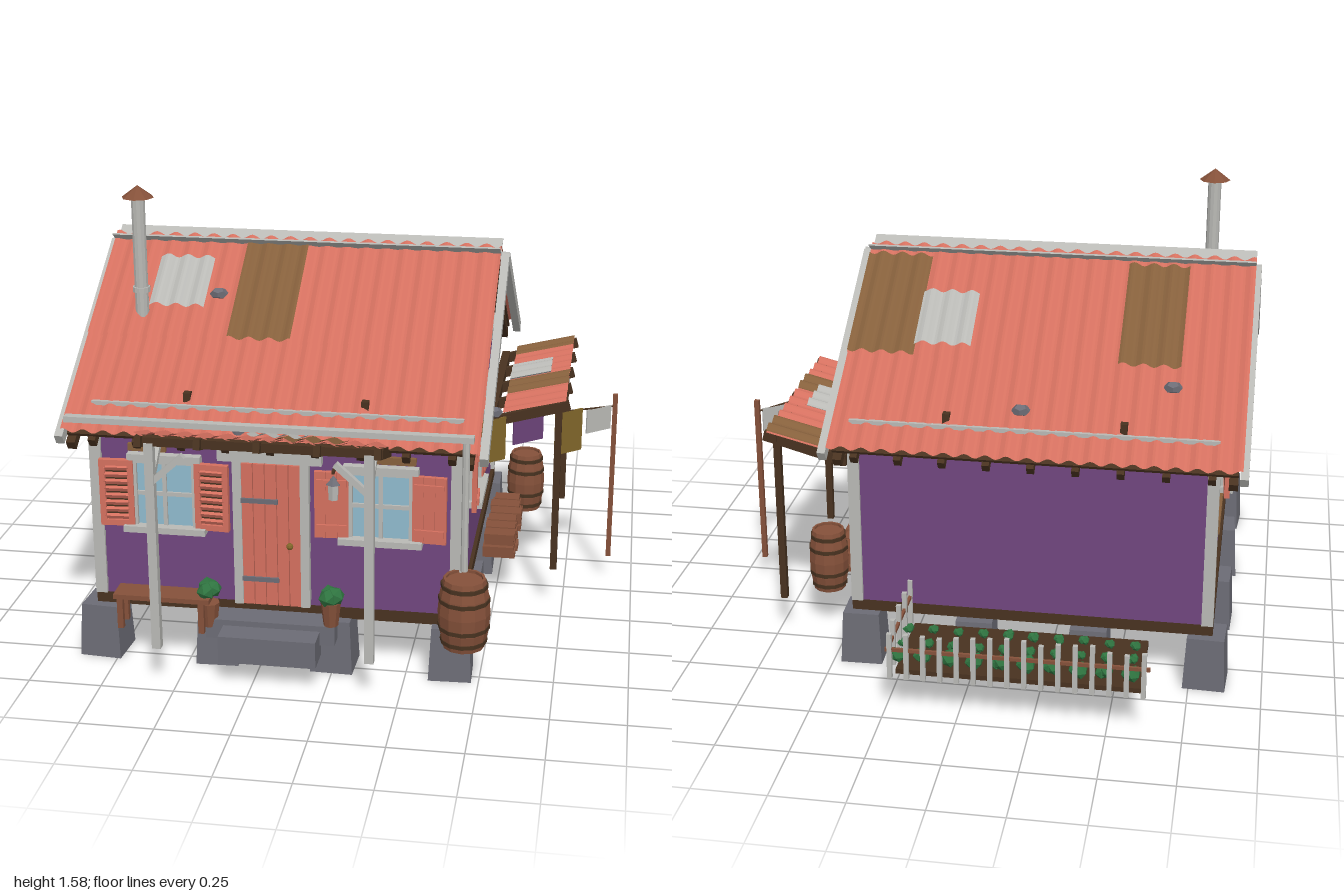
import * as THREE from 'three';

const paint = (name, color, open) => {
  const m = new THREE.MeshStandardMaterial({ color, flatShading: true });
  m.name = name;
  if (open) m.side = THREE.DoubleSide;
  return m;
};

export function createModel() {
  const purple = paint('purple', 0x6c4379), red = paint('terracotta', 0xd4705f, true);
  const tan = paint('rust brown', 0x86603c, true), wood = paint('barrel wood', 0x85513a);
  const dark = paint('dark timber', 0x483220), grey = paint('pale grey', 0xb9b9b5, true);
  const stone = paint('stone', 0x6c6c75), glass = paint('glass', 0x8fbacd);
  const green = paint('leaf green', 0x2f7440), mustard = paint('mustard', 0x80662a, true);

  const root = new THREE.Group();
  root.name = 'cabin';
  let target = root; // group that receives new parts
  const V = (x, y, z) => new THREE.Vector3(x, y, z);
  const add = (name, geo, mat, x = 0, y = 0, z = 0) => {
    const m = new THREE.Mesh(geo, mat);
    m.name = name;
    m.position.set(x, y, z);
    target.add(m);
    return m;
  };
  const box = (name, mat, x0, x1, y0, y1, z0, z1) => add(name,
    new THREE.BoxGeometry(x1 - x0, y1 - y0, z1 - z0), mat, (x0 + x1) / 2, (y0 + y1) / 2, (z0 + z1) / 2);
  const beam = (name, mat, a, b, w, h) => {
    const m = new THREE.Mesh(new THREE.BoxGeometry(w, h, a.distanceTo(b)), mat);
    m.name = name;
    m.position.copy(a).lerp(b, 0.5);
    m.lookAt(b);
    target.add(m);
  };
  const inGroup = (name, x, y, z, turn, build) => {
    const g = new THREE.Group(), old = target;
    g.name = name;
    g.position.set(x, y, z);
    g.rotation.y = turn;
    old.add(g);
    target = g;
    build();
    target = old;
  };
  let seed = 7;
  const rnd = () => (seed = (seed * 16807) % 2147483647) / 2147483647;

  // Corrugated sheet between two edges given as (z, y)
  const sheet = (name, mat, x0, x1, za, ya, zb, yb, lift = 0) => {
    const n = Math.round((x1 - x0) / 0.07 * 8);
    const g = new THREE.PlaneGeometry(1, 1, n, 1), p = g.attributes.position;
    for (let i = 0; i < p.count; i++) {
      const x = x0 + (p.getX(i) + 0.5) * (x1 - x0), t = 0.5 - p.getY(i);
      p.setXYZ(i, x, ya + (yb - ya) * t + lift + 0.007 * Math.sin(x * Math.PI * 2 / 0.07), za + (zb - za) * t);
    }
    g.computeVertexNormals();
    add(name, g, mat);
  };

  // Floor, stone piers and steps
  box('floorFrame', dark, -0.825, 0.435, 0.19, 0.23, -0.615, 0.755);
  for (let i = 0; i < 15; i++) box('floorBoard', dark, -0.81, 0.42, 0.182, 0.2, -0.6 + i * 0.09, -0.517 + i * 0.09);
  [-0.805, -0.4, 0, 0.4].forEach((x, i) => [0.725, 0.29, -0.14, -0.585].forEach((z, j) => {
    if (i % 3 && j % 3) return;
    const pier = add('pier', new THREE.CylinderGeometry(0.09, 0.103, 0.19, 4).rotateY(Math.PI / 4), stone, x, 0.095, z);
    pier.rotation.y = (rnd() - 0.5) * 0.15;
  }));
  box('upperStep', stone, -0.42, 0.02, 0.13, 0.2, 0.75, 0.85);
  box('lowerStep', stone, -0.36, -0.03, 0.085, 0.18, 0.83, 0.935);

  // Wall body
  const half = y => y < 0.86 ? 0.675 : Math.max(0, (1.3 - y) / 0.652);
  const gable = new THREE.Shape([[-0.745, 0.2], [0.605, 0.2], [0.605, 0.86], [-0.07, 1.3], [-0.745, 0.86]]
    .map(([a, b]) => new THREE.Vector2(a, b)));
  add('walls', new THREE.ExtrudeGeometry(gable, { depth: 1.21, bevelEnabled: false }).rotateY(Math.PI / 2), purple, -0.8);

  // Lapped siding
  const courses = (count, width) => {
    for (let i = 0; i < count; i++) {
      const y = 0.23 + i * 0.0573, h = 0.0573, a = width(y), b = width(y + h);
      const s = new THREE.Shape([[-a, 0], [a, 0], [b, h], [-b, h]].map(q => new THREE.Vector2(...q)));
      const g = new THREE.ExtrudeGeometry(s, { depth: 0.008, bevelEnabled: false });
      add('siding', g.rotateX(-0.13), purple, 0, y, 0.004);
    }
  };
  inGroup('frontSiding', -0.195, 0, 0.745, 0, () => courses(11, () => 0.605));
  inGroup('backSiding', -0.195, 0, -0.605, Math.PI, () => courses(11, () => 0.605));
  inGroup('leftSiding', 0.41, 0, 0.07, Math.PI / 2, () => courses(18, half));
  inGroup('rightSiding', -0.8, 0, 0.07, -Math.PI / 2, () => courses(18, half));

  // Corner boards and gable bands
  for (const [x0, x1] of [[-0.825, -0.785], [0.395, 0.435]])
    for (const [z0, z1] of [[0.715, 0.765], [-0.625, -0.575]]) box('cornerBoard', grey, x0, x1, 0.23, 0.86, z0, z1);
  for (const x of [-0.818, 0.428]) box('gableBand', grey, x - 0.01, x + 0.01, 0.875, 0.91, -0.56, 0.69);
  for (const s of [-1, 1]) inGroup('gableVent', s > 0 ? 0.425 : -0.815, 1.08, 0.07, s * Math.PI / 2, () => {
    box('ventFrame', grey, -0.056, 0.056, -0.045, 0.045, 0, 0.012);
    for (let i = 0; i < 4; i++) box('ventSlat', red, -0.048, 0.048, -0.037 + i * 0.02, -0.024 + i * 0.02, 0.01, 0.02);
  });

  // Windows with shutters
  const windowUnit = (x, z, turn, louvred) => inGroup('window', x, 0.615, z, turn, () => {
    box('pane', glass, -0.11, 0.11, -0.115, 0.115, 0.012, 0.02);
    for (const s of [-1, 1]) {
      box('jamb', grey, s * 0.107 - 0.013, s * 0.107 + 0.013, -0.12, 0.12, 0, 0.032);
      inGroup('shutter', s * 0.163, 0, 0.028, s * -0.06, () => {
        if (!louvred) {
          for (let i = 0; i < 3; i++) box('shutterBoard', red, -0.057 + i * 0.038, -0.02 + i * 0.038, -0.117, 0.117, -0.005, 0.012);
          for (const y of [-0.08, 0.08]) box('shutterBatten', red, -0.05, 0.05, y - 0.012, y + 0.012, 0.01, 0.02);
          return;
        }
        box('shutterBack', dark, -0.045, 0.045, -0.11, 0.11, -0.005, 0);
        for (const e of [-1, 1]) {
          box('stile', red, e * 0.048 - 0.01, e * 0.048 + 0.01, -0.118, 0.118, -0.006, 0.014);
          box('shutterRail', red, -0.045, 0.045, e * 0.108 - 0.01, e * 0.108 + 0.01, -0.006, 0.014);
        }
        for (let i = 0; i < 8; i++) box('louvre', red, -0.042, 0.042, -0.094 + i * 0.025, -0.08 + i * 0.025, 0, 0.012).rotation.x = 0.5;
      });
    }
    box('mullion', grey, -0.007, 0.007, -0.115, 0.115, 0.015, 0.028);
    box('crossBar', grey, -0.1, 0.1, -0.007, 0.007, 0.015, 0.028);
    box('head', grey, -0.125, 0.125, 0.11, 0.14, 0, 0.036);
    box('sill', grey, -0.14, 0.14, -0.135, -0.113, 0, 0.055);
  });
  windowUnit(-0.565, 0.75, 0, true);
  windowUnit(0.165, 0.75, 0, false);
  windowUnit(0.415, 0.29, Math.PI / 2, false);
  windowUnit(0.415, -0.15, Math.PI / 2, false);
  windowUnit(-0.805, 0.07, -Math.PI / 2, true);

  // Replacement boards
  box('patchBoard', tan, 0.15, 0.28, 0.76, 0.785, 0.75, 0.767);
  box('patchBoard', tan, -0.69, -0.56, 0.76, 0.785, 0.75, 0.767);
  box('patchBoard', tan, 0.41, 0.434, 0.53, 0.59, -0.57, -0.34);
  box('patchBoard', tan, -0.824, -0.8, 0.4, 0.455, -0.25, 0.3);

  // Door
  for (let i = 0; i < 5; i++) box('doorPlank', red, -0.303 + i * 0.04, -0.266 + i * 0.04, 0.23, 0.74, 0.75, 0.775);
  for (const x of [-0.318, -0.09]) box('doorJamb', grey, x - 0.015, x + 0.015, 0.23, 0.75, 0.745, 0.78);
  box('doorHead', grey, -0.38, -0.03, 0.75, 0.79, 0.745, 0.79);
  for (const y of [0.325, 0.61]) box('strapHinge', stone, -0.305, -0.18, y - 0.008, y + 0.008, 0.77, 0.782);
  add('doorKnob', new THREE.SphereGeometry(0.012, 8, 6), mustard, -0.14, 0.455, 0.785);

  // Lantern
  beam('lanternArm', dark, V(0.01, 0.735, 0.75), V(0.01, 0.735, 0.8), 0.01, 0.01);
  add('lanternBody', new THREE.CylinderGeometry(0.02, 0.017, 0.055, 6), grey, 0.01, 0.665, 0.79);
  add('lanternCap', new THREE.ConeGeometry(0.027, 0.03, 6), stone, 0.01, 0.707, 0.79);

  // Main roof, two tiers of sheets on each slope
  const roofY = z => 1.32 - Math.abs(z - 0.07) * 0.632;
  const slope = (name, mat, x0, x1, za, zb, lift) => sheet(name, mat, x0, x1, za, roofY(za), zb, roofY(zb), lift);
  for (const [eave, seam] of [[0.825, 0.46], [-0.695, -0.34]]) {
    slope('lowerRoof', red, -0.9, 0.49, seam, eave, 0);
    slope('upperRoof', red, -0.9, 0.49, 0.07, seam + Math.sign(eave) * 0.02, 0.01);
    beam('roofDeck', dark, V(-0.205, 1.295, 0.07), V(-0.205, roofY(eave) - 0.023, eave * 0.97), 1.36, 0.012);
    for (const x of [-0.905, 0.505]) beam('bargeBoard', grey, V(x, 1.29, 0.07), V(x, roofY(eave) - 0.035, eave), 0.028, 0.04);
    for (const x of [-0.87, 0.455]) beam('vergeRafter', dark, V(x, 1.26, 0.07), V(x, roofY(eave) - 0.06, eave * 0.98), 0.03, 0.035);
    for (let i = 0; i < 9; i++) beam('rafterTail', dark, V(-0.8 + i * 0.15, roofY(eave * 0.8) - 0.05, eave * 0.8),
      V(-0.8 + i * 0.15, roofY(eave) - 0.05, eave * 0.97), 0.025, 0.035);
    const z = eave > 0 ? 0.722 : -0.6;
    box('snowRail', grey, -0.82, 0.43, roofY(z) - 0.006, roofY(z) + 0.008, z - 0.007, z + 0.007);
    for (const x of [-0.5, 0.1]) box('railBracket', dark, x - 0.012, x + 0.012, roofY(z), roofY(z) + 0.04, z * 0.95 - 0.015, z * 0.95 + 0.012);
    const s = Math.sign(eave);
    add('ridgeCap', new THREE.BoxGeometry(1.39, 0.006, 0.1), grey, -0.205, 1.312, 0.07 + s * 0.025).rotation.x = -s * 0.56;
  }
  slope('rustSheet', tan, -0.41, -0.19, 0.1, 0.48, 0.018);
  slope('rustSheet', tan, -0.67, -0.455, 0.02, -0.36, 0.018);
  slope('rustSheet', tan, 0.255, 0.49, 0.02, -0.36, 0.018);
  slope('zincPatch', grey, -0.71, -0.515, 0.175, 0.37, 0.024);
  slope('zincPatch', grey, 0.06, 0.26, -0.125, -0.325, 0.024);
  const rock = (x, y, z) => add('roofStone', new THREE.DodecahedronGeometry(0.03), stone, x, y, z).scale.set(1.1, 0.7, 0.9);
  for (const [x, z] of [[-0.47, 0.32], [-0.65, -0.44], [-0.15, -0.55]]) rock(x, roofY(z) + 0.025, z);
  rock(-0.31, 0.86, 0.785);
  rock(0.49, 0.775, 0.25);

  // Chimney pipe
  add('chimney', new THREE.CylinderGeometry(0.024, 0.024, 0.42, 12), grey, -0.73, 1.32, 0.38);
  add('chimneyCollar', new THREE.CylinderGeometry(0.031, 0.031, 0.018, 12), grey, -0.73, 1.21, 0.38);
  add('chimneyCap', new THREE.ConeGeometry(0.056, 0.042, 8), wood, -0.73, 1.554, 0.38);

  // Gutter and downpipe
  box('gutter', grey, -0.875, 0.475, 0.885, 0.905, 0.832, 0.862);
  add('downpipe', new THREE.CylinderGeometry(0.012, 0.012, 0.45, 8), grey, 0.45, 0.66, 0.845);

  // Lean-to roofs: porch and side awning
  const leanTo = (x0, x1, zi, yi, zo, yo, parts) => {
    const n = 5, span = x1 - x0;
    for (const [mat, a, b, z, lift] of parts) sheet('leanToSheet', mat, a, b, zi, yi, z, yi + (yo - yi) * (z - zi) / (zo - zi), lift);
    for (let i = 0; i < n; i++) {
      const x = x0 + 0.015 + i * (span - 0.03) / (n - 1);
      beam('leanToRafter', dark, V(x, yi - 0.045, zi - 0.05), V(x, yo - 0.022, zo + 0.012), 0.022, 0.035);
    }
    box('leanToBeam', dark, x0, x1, yo - 0.045, yo - 0.015, zo - 0.035, zo - 0.01);
    box('leanToPlate', dark, x0, x1, yi - 0.06, yi - 0.02, zi - 0.06, zi - 0.03);
  };
  leanTo(-0.605, 0.2, 0.78, 0.84, 0.98, 0.905, [[red, -0.605, 0.2, 0.98, 0], [tan, -0.15, 0.07, 0.98, 0.007], [grey, -0.25, -0.05, 0.92, 0.014]]);
  for (const [x, s] of [[-0.56, 1], [0.155, -1]]) {
    box('porchPost', grey, x - 0.015, x + 0.015, 0.14, 0.87, 0.945, 0.975);
    beam('porchBrace', grey, V(x, 0.73, 0.96), V(x + s * 0.11, 0.83, 0.96), 0.02, 0.02);
    beam('porchBrace', grey, V(x, 0.73, 0.955), V(x, 0.82, 0.86), 0.02, 0.02);
  }
  inGroup('awning', 0, 0, 0, Math.PI / 2, () => {
    leanTo(-0.215, 0.545, 0.52, 0.765, 0.74, 0.82, [[red, -0.215, 0.545, 0.74, 0], [tan, 0.42, 0.545, 0.74, 0.007],
      [tan, -0.02, 0.13, 0.74, 0.007], [grey, 0.09, 0.28, 0.67, 0.014]]);
    for (const x of [-0.175, 0.5]) box('awningPost', dark, x - 0.012, x + 0.012, 0.155, 0.79, 0.703, 0.727);
  });

  // Clothes line
  const lineA = V(0.43, 0.76, 0.31), lineB = V(0.91, 0.7, -0.09);
  box('linePole', wood, 0.901, 0.919, 0.1, 0.745, -0.099, -0.081);
  beam('clothesLine', dark, lineA, lineB, 0.005, 0.005);
  for (const [t, w, h, mat] of [[0.13, 0.1, 0.16, mustard], [0.37, 0.13, 0.1, purple], [0.66, 0.12, 0.16, mustard], [0.88, 0.11, 0.09, grey]]) {
    const p = lineA.clone().lerp(lineB, t);
    add('laundry', new THREE.BoxGeometry(w, h, 0.006), mat, p.x, p.y - h / 2, p.z).rotation.y = 0.69;
  }

  // Barrels
  const barrel = (x, z, r, h) => inGroup('barrel', x, 0.155, z, 0, () => {
    const pts = [[0, 0], [0.8, 0], [0.94, 0.25], [1, 0.5], [0.94, 0.75], [0.8, 1], [0.7, 1], [0.7, 0.96], [0, 0.96]];
    add('staves', new THREE.LatheGeometry(pts.map(([a, b]) => new THREE.Vector2(a * r, b * h)), 12), wood);
    for (const [a, k] of [[0.1, 0.9], [0.3, 0.985], [0.7, 0.985], [0.9, 0.9]])
      add('hoop', new THREE.CylinderGeometry(r * k, r * k, 0.014, 12), dark, 0, h * a, 0);
  });
  barrel(0.45, 0.82, 0.088, 0.245);
  barrel(0.575, -0.39, 0.072, 0.23);

  // Firewood stack
  for (let r = 0; r < 4; r++) for (let i = 0; i < 6; i++) {
    const z = -0.28 + i * 0.069 + (r % 2) * 0.012;
    box('firewood', wood, 0.45 + rnd() * 0.02, 0.56 + rnd() * 0.02, 0.16 + r * 0.025, 0.182 + r * 0.025, z, z + 0.06);
  }

  // Bench and potted plants
  box('benchSeat', wood, -0.73, -0.4, 0.265, 0.282, 0.79, 0.88);
  for (const x of [-0.71, -0.43]) for (const z of [0.8, 0.865]) box('benchLeg', wood, x - 0.01, x + 0.01, 0.155, 0.27, z - 0.01, z + 0.01);
  const bush = (x, y, z, r) => {
    for (let i = 0; i < 3; i++) add('leaves', new THREE.IcosahedronGeometry(r * (0.7 + rnd() * 0.2)), green,
      x + Math.cos(i * 2.1) * r * 0.35, y + rnd() * r * 0.4, z + Math.sin(i * 2.1) * r * 0.35).rotation.y = i;
  };
  for (const [x, y] of [[-0.41, 0.17], [0.005, 0.2]]) {
    add('plantPot', new THREE.CylinderGeometry(0.035, 0.025, 0.085, 8), wood, x, y + 0.042, 0.83);
    bush(x, 0.295, 0.83, 0.04);
  }

  // Garden bed and picket fence
  box('soil', dark, -0.61, 0.205, 0.155, 0.172, -0.97, -0.65);
  for (let i = 0; i < 10; i++) {
    bush(-0.575 + i * 0.087, 0.195, -0.925, 0.03);
    bush(-0.57 + i * 0.087, 0.182, -0.81, 0.019);
    bush(-0.57 + i * 0.087, 0.182, -0.71, 0.019);
  }
  box('fenceRail', wood, -0.64, 0.235, 0.25, 0.262, -0.995, -0.985);
  box('fenceRail', wood, 0.222, 0.232, 0.25, 0.262, -0.99, -0.61);
  const picket = (x, z) => box('picket', grey, x - 0.008, x + 0.008, 0.15, 0.3 + rnd() * 0.03, z - 0.008, z + 0.008);
  for (let i = 0; i < 16; i++) picket(-0.62 + i * 0.056, -0.99);
  for (let i = 0; i < 4; i++) picket(0.227, -0.9 + i * 0.095);

  return root;
}
